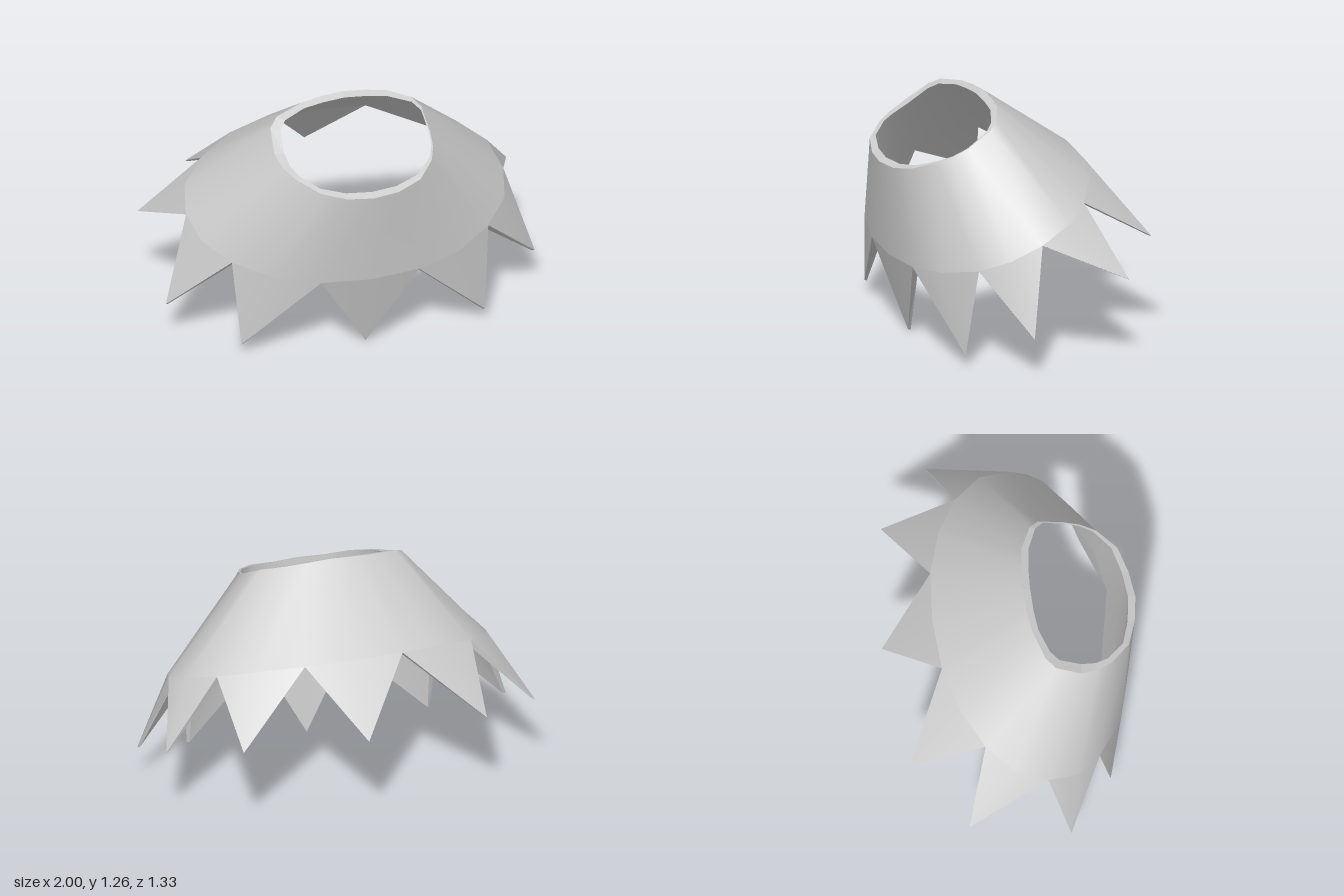
import * as THREE from 'three';

// Half outline from front to back; even entries are tooth centres, odd entries are notches.
const HEM = [
  [0, 0.43, 0.61], [0.265, 0.44, 0.59], [0.5, 0.475, 0.53], [0.695, 0.525, 0.4],
  [0.82, 0.6, 0.27], [0.86, 0.68, 0.11], [0.82, 0.76, -0.06], [0.69, 0.82, -0.2],
  [0.5, 0.88, -0.31], [0.265, 0.91, -0.38], [0, 0.92, -0.4],
];
const RIM = [
  [0, 0.95, 0.665], [0.14, 0.955, 0.645], [0.27, 0.985, 0.6], [0.36, 1.03, 0.5],
  [0.39, 1.06, 0.42], [0.4, 1.1, 0.33], [0.39, 1.18, 0.2], [0.35, 1.215, 0.15],
  [0.23, 1.245, 0.095], [0.12, 1.257, 0.08], [0, 1.265, 0.075],
];
const TIPS = [
  [0, 0, 0.5], [0.66, 0.06, 0.46], [1, 0.22, 0.215],
  [1, 0.48, -0.32], [0.66, 0.575, -0.595], [0, 0.575, -0.665],
];
// The neck opening flares a little on the right-hand side.
const FLARE = [1, 1, 1, 1.04, 1.08, 1.11, 1.1, 1.09, 1, 1, 1];

// Completes a half outline into a closed loop by mirroring it.
function loop(half, flare) {
  const right = half.map((p) => new THREE.Vector3(...p));
  const left = right.slice(1, -1).map((p, i) =>
    new THREE.Vector3(-p.x * (flare ? flare[i + 1] : 1), p.y, p.z));
  return right.concat(left.reverse());
}

// Moves a point horizontally towards the middle of the collar.
function inward(p, amount) {
  const d = new THREE.Vector3(-p.x, 0, 0.13 - p.z).normalize();
  return p.clone().addScaledVector(d, amount);
}

function surface(name, points, faces, flat = false) {
  let geometry = new THREE.BufferGeometry().setFromPoints(points);
  geometry.setIndex(faces.flat());
  if (flat) geometry = geometry.toNonIndexed();
  geometry.computeVertexNormals();
  const mesh = new THREE.Mesh(geometry, new THREE.MeshStandardMaterial({
    color: 0xcccccc, side: THREE.DoubleSide, flatShading: flat,
  }));
  mesh.name = name;
  return mesh;
}

// Closed band of quads between a lower and an upper loop.
function band(name, lower, upper, flip, flat) {
  const n = lower.length;
  const faces = [];
  for (let i = 0; i < n; i++) {
    const j = (i + 1) % n;
    faces.push(flip ? [i, n + j, j, i, n + i, n + j] : [i, j, n + j, i, n + j, n + i]);
  }
  return surface(name, lower.concat(upper), faces, flat);
}

export function createModel() {
  const model = new THREE.Group();
  model.name = 'jaggedCollar';

  const hem = loop(HEM);
  const rim = loop(RIM, FLARE);
  const tips = loop(TIPS);
  const innerHem = hem.map((p) => inward(p, 0.055));
  const innerTips = tips.map((p) => inward(p, 0.015));
  const innerRim = loop(RIM).map((p) => {
    const z = 0.365 + (p.z - 0.365) * 0.87;
    return new THREE.Vector3(p.x * 0.98, p.y + (p.z - z) * 0.45, z);
  });

  // Sloping walls and the edge around the neck
  model.add(band('outerWall', hem, rim, false, false));
  model.add(band('innerWall', innerHem, innerRim, true, false));
  model.add(band('neckEdge', rim, innerRim, false, true));

  // Pointed teeth along the hem
  const n = hem.length;
  tips.forEach((tip, k) => {
    const mid = 2 * k;
    const prev = (mid + n - 1) % n;
    const next = (mid + 1) % n;
    const outer = [hem[mid], hem[prev], tip, hem[next]];
    const inner = [innerHem[mid], innerHem[prev], innerTips[k], innerHem[next]];
    const tooth = new THREE.Group();
    tooth.name = `tooth${k + 1}`;
    tooth.add(surface('toothFront', outer, [[0, 1, 2], [0, 2, 3]]));
    tooth.add(surface('toothBack', inner, [[0, 2, 1], [0, 3, 2]]));
    tooth.add(surface('toothSides', outer.concat(inner),
      [[1, 5, 6], [1, 6, 2], [2, 6, 7], [2, 7, 3]], true));
    model.add(tooth);
  });

  return model;
}
